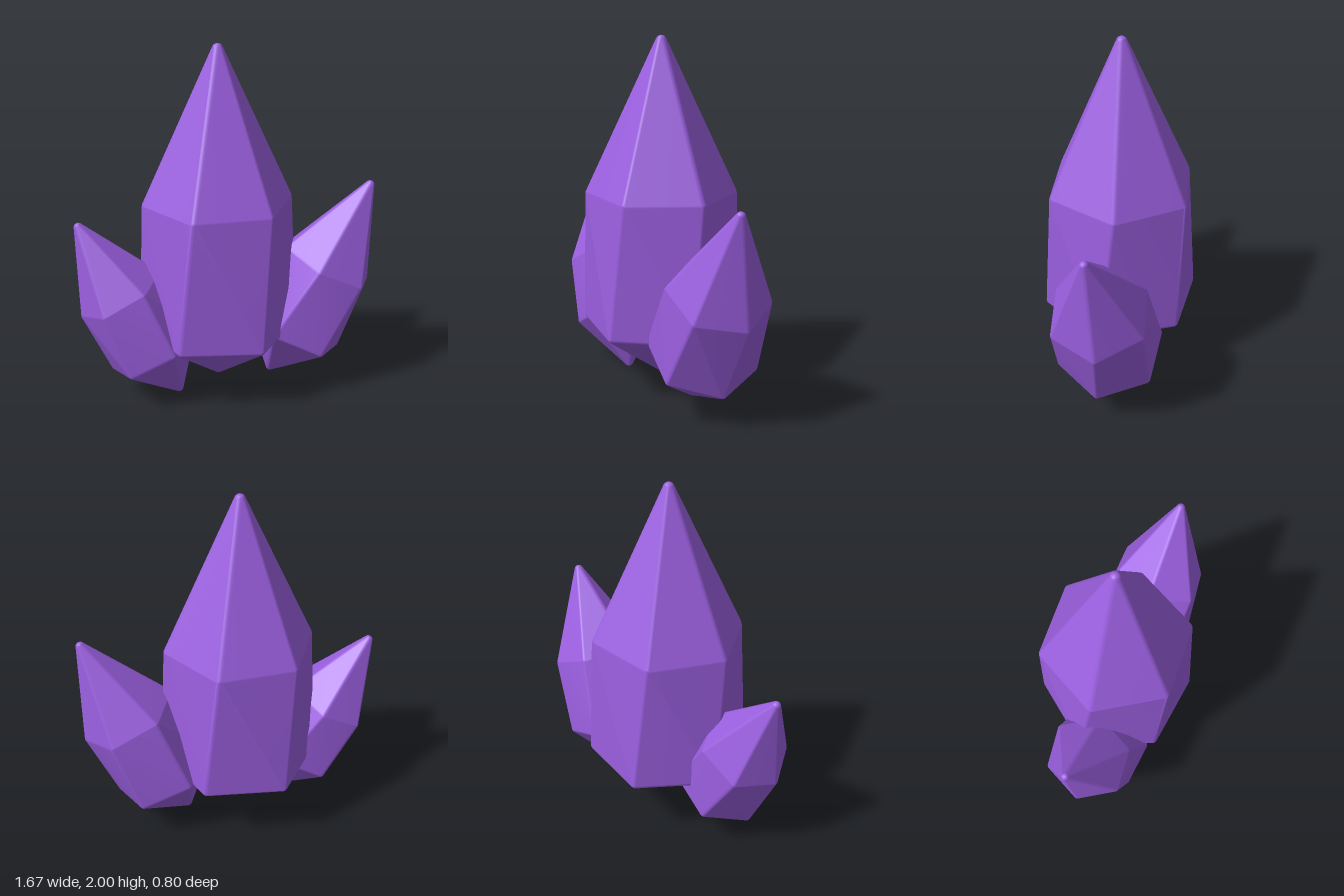
import * as THREE from 'three';
import { ConvexGeometry } from 'three/addons/geometries/ConvexGeometry.js';
import { mergeVertices } from 'three/addons/utils/BufferGeometryUtils.js';

const material = new THREE.MeshStandardMaterial({ color: 0x9b5fe0 });

// Six corners of a hexagon around the y axis, turned by a start angle in degrees.
function hexRing(radius, y, startDeg) {
  return Array.from({ length: 6 }, (_, i) => {
    const a = THREE.MathUtils.degToRad(startDeg + i * 60);
    return new THREE.Vector3(Math.cos(a) * radius, y, Math.sin(a) * radius);
  });
}

// Slightly twisted hexagonal crystal, pointed at both ends, with rounded edges:
// the hull of a small ball placed at every corner.
function crystalGeometry({ height, lowY, lowR, highY, highR, bevel }) {
  const inset = bevel / Math.cos(Math.PI / 6);
  const corners = [
    new THREE.Vector3(0, bevel, 0),
    ...hexRing(lowR - inset, lowY + bevel * 0.4, 0),
    ...hexRing(highR - inset, highY - bevel * 0.25, -10),
    new THREE.Vector3(0, height - bevel, 0),
  ];
  const ball = new THREE.IcosahedronGeometry(bevel, 2);
  ball.deleteAttribute('normal');
  ball.deleteAttribute('uv');
  const ballPos = mergeVertices(ball, 1e-5).attributes.position;
  const points = [];
  for (const c of corners) {
    for (let i = 0; i < ballPos.count; i++) {
      points.push(new THREE.Vector3().fromBufferAttribute(ballPos, i).add(c));
    }
  }
  // Area-weighted normals keep the large facets flat and the edges soft.
  const hull = new ConvexGeometry(points);
  hull.deleteAttribute('normal');
  const geometry = mergeVertices(hull, 1e-5);
  geometry.computeVertexNormals();
  return geometry;
}

export function createModel() {
  const group = new THREE.Group();
  group.name = 'crystalCluster';

  const crystals = [
    // Tall upright crystal in the middle
    { name: 'centreCrystal', base: [-0.043, 0.05, 0], tilt: 0,
      height: 1.95, lowY: 0.33, lowR: 0.46, highY: 1.09, highR: 0.43, bevel: 0.03 },
    // Smaller crystals leaning outwards
    { name: 'leftCrystal', base: [0.26, 0.025, -0.06], tilt: -25.5,
      height: 1.32, lowY: 0.32, lowR: 0.31, highY: 0.775, highR: 0.285, bevel: 0.025 },
    { name: 'rightCrystal', base: [-0.268, 0.003, 0.12], tilt: 27.5,
      height: 1.19, lowY: 0.32, lowR: 0.277, highY: 0.71, highR: 0.255, bevel: 0.025 },
  ];

  for (const c of crystals) {
    const mesh = new THREE.Mesh(crystalGeometry(c), material);
    mesh.name = c.name;
    mesh.position.set(...c.base);
    mesh.rotation.z = THREE.MathUtils.degToRad(c.tilt);
    group.add(mesh);
  }
  return group;
}
